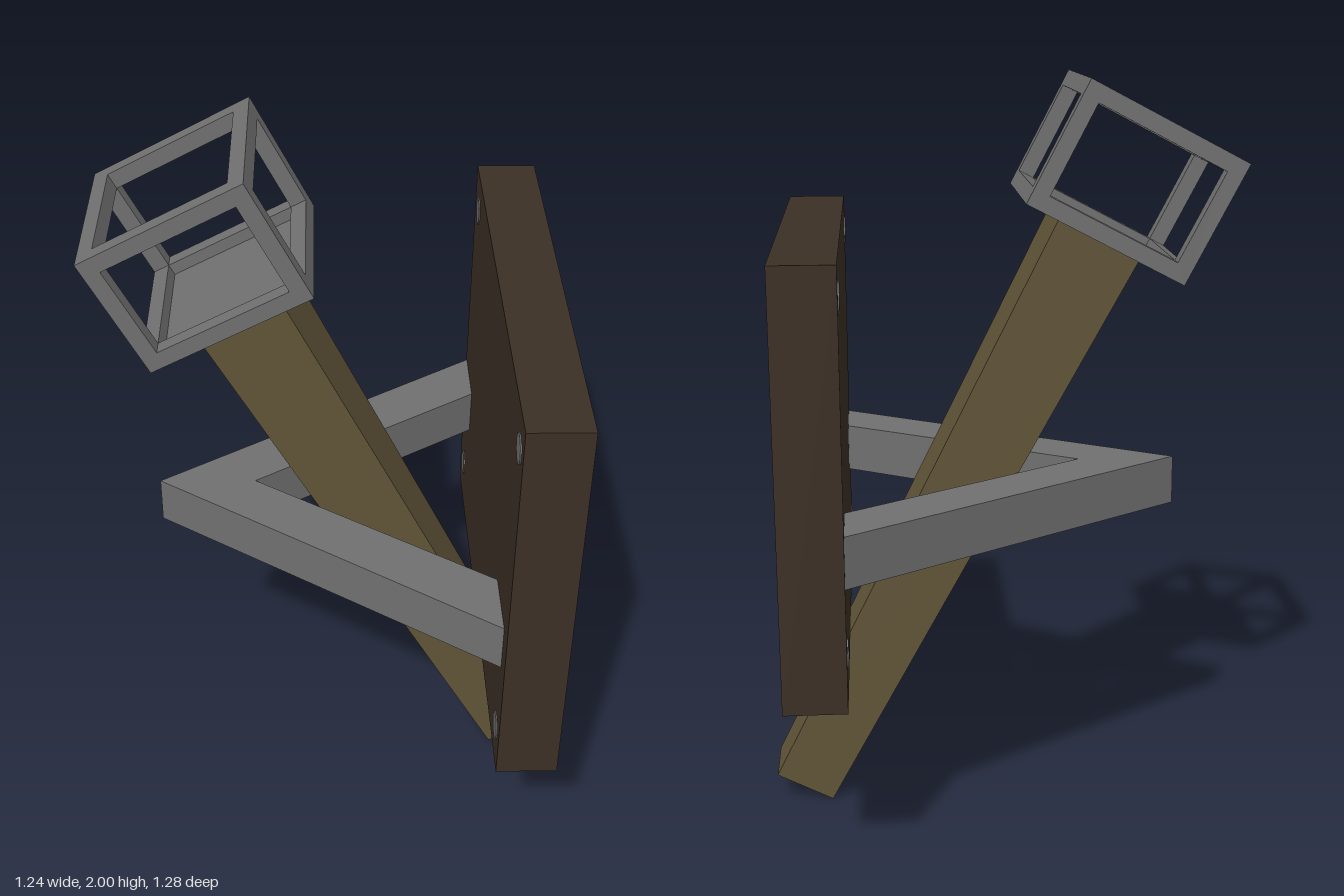
import * as THREE from 'three';

export function createModel() {
  const model = new THREE.Group();
  const mat = (name, color) => {
    const m = new THREE.MeshStandardMaterial({ color });
    m.name = name;
    return m;
  };
  const darkWood = mat('dark wood', 0x3c3025);
  const paleWood = mat('pale wood', 0x625639);
  const iron = mat('iron', 0x707070);

  const add = (parent, name, geometry, material, x = 0, y = 0, z = 0) => {
    const mesh = new THREE.Mesh(geometry, material);
    mesh.name = name;
    mesh.position.set(x, y, z);
    parent.add(mesh);
    return mesh;
  };
  const box = (w, h, d) => new THREE.BoxGeometry(w, h, d);
  const polygon = (Type, pts) => new Type(pts.map(([x, y]) => new THREE.Vector2(x, y)));
  const midZ = -0.028;

  // Upright board
  add(model, 'board', box(0.16, 1.1, 1.285), darkWood, 0.488, 1.062, -0.002);

  // Bolts running through the board corners
  const bolt = new THREE.CylinderGeometry(0.039, 0.039, 0.167, 10);
  bolt.rotateZ(Math.PI / 2);
  for (const [y, z] of [[1.52, 0.573], [1.52, -0.548], [0.617, 0.573], [0.631, -0.548]]) {
    add(model, 'bolt', bolt, iron, 0.488, y, z);
  }

  // Pointed V bracket lying flat behind the board
  const vShape = polygon(THREE.Shape, [
    [-0.49, 0], [0.41, -0.605], [0.41, -0.42], [-0.227, 0], [0.41, 0.42], [0.41, 0.605],
  ]);
  const vGeo = new THREE.ExtrudeGeometry(vShape, { depth: 0.133, bevelEnabled: false });
  vGeo.translate(0, 0, -0.0665);
  vGeo.rotateX(-Math.PI / 2);
  add(model, 'bracket', vGeo, iron, 0, 0.898, midZ).rotation.z = -0.007;

  // Leaning torch: handle and cage share one tilted axis
  const torch = new THREE.Group();
  torch.name = 'torch';
  torch.position.set(0.545, 0.045, midZ);
  torch.rotation.z = 0.48;
  model.add(torch);

  // Tapered handle
  const length = 1.745;
  const handle = box(1, length, 1);
  const p = handle.attributes.position;
  for (let i = 0; i < p.count; i++) {
    const s = p.getY(i) > 0 ? 0.238 : 0.172;
    p.setX(i, p.getX(i) * s);
    p.setZ(i, p.getZ(i) * s);
  }
  handle.computeVertexNormals();
  add(torch, 'handle', handle, paleWood, 0, length / 2, 0);

  // Open cage: two square frames joined by four bars, with a sunken floor
  const cage = new THREE.Group();
  cage.name = 'cage';
  cage.position.y = 1.742;
  torch.add(cage);
  const W = 0.456, H = 0.344, D = 0.465, B = 0.044;
  const rect = (Type, w, y0, y1) => polygon(Type, [[-w, y0], [w, y0], [w, y1], [-w, y1]]);
  const frameShape = rect(THREE.Shape, W / 2, 0, H);
  frameShape.holes.push(rect(THREE.Path, W / 2 - B, B, H - B));
  const frame = new THREE.ExtrudeGeometry(frameShape, { depth: B, bevelEnabled: false });
  add(cage, 'cageFrontFrame', frame, iron, 0, 0, D / 2 - B);
  add(cage, 'cageBackFrame', frame, iron, 0, 0, -D / 2);
  const bar = box(B, B, D - 2 * B);
  for (const x of [-1, 1]) {
    for (const y of [B / 2, H - B / 2]) add(cage, 'cageBar', bar, iron, x * (W - B) / 2, y, 0);
  }
  add(cage, 'cageFloor', box(W - 2 * B, 0.012, D - 2 * B), iron, 0, 0.006, 0);

  return model;
}
